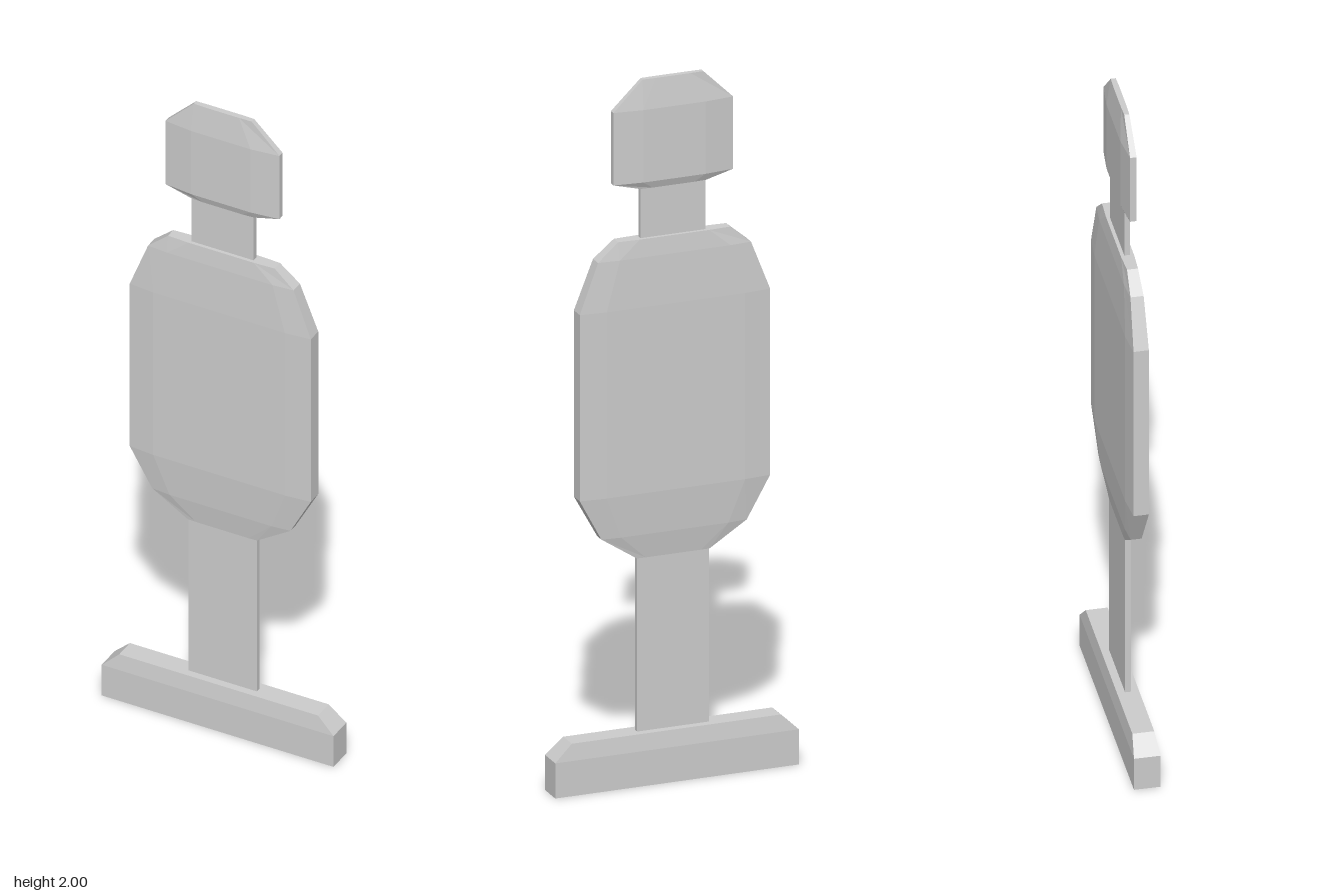
import * as THREE from 'three';

const material = new THREE.MeshStandardMaterial({ color: 0xcccccc, flatShading: true });

// Stack of flat eight-sided sections: [y, half width, edge half depth, inner half width, inner half depth]
function loft(name, sections) {
  const positions = [];
  const rings = sections.map(([y, w, d, wi, di]) => [
    [w, d], [wi, di], [-wi, di], [-w, d], [-w, -d], [-wi, -di], [wi, -di], [w, -d],
  ].map(([x, z]) => [x, y, z]));
  const tri = (a, b, c) => positions.push(...a, ...b, ...c);
  const n = 8;

  // Sides
  for (let r = 0; r < rings.length - 1; r++) {
    const lo = rings[r], hi = rings[r + 1];
    for (let i = 0; i < n; i++) {
      const j = (i + 1) % n;
      tri(lo[i], hi[i], hi[j]);
      tri(lo[i], hi[j], lo[j]);
    }
  }

  // End caps
  const bottom = rings[0], top = rings[rings.length - 1];
  for (let i = 1; i < n - 1; i++) {
    tri(bottom[0], bottom[i], bottom[i + 1]);
    tri(top[0], top[i + 1], top[i]);
  }

  const geometry = new THREE.BufferGeometry();
  geometry.setAttribute('position', new THREE.Float32BufferAttribute(positions, 3));
  geometry.computeVertexNormals();
  const mesh = new THREE.Mesh(geometry, material);
  mesh.name = name;
  return mesh;
}

function slab(name, width, y0, y1, depth) {
  const mesh = new THREE.Mesh(new THREE.BoxGeometry(width, y1 - y0, depth), material);
  mesh.name = name;
  mesh.position.y = (y0 + y1) / 2;
  return mesh;
}

export function createModel() {
  const group = new THREE.Group();
  group.name = 'standingTarget';

  // Foot with a chamfered top
  group.add(loft('base', [
    [0, 0.352, 0.036, 0.3, 0.036],
    [0.1, 0.352, 0.036, 0.3, 0.036],
    [0.147, 0.302, 0.03, 0.25, 0.03],
  ]));

  // Thin connecting plates
  group.add(slab('post', 0.208, 0.14, 0.66, 0.016));
  group.add(slab('neck', 0.188, 1.54, 1.71, 0.016));

  // Torso plate, thinner towards its rim
  group.add(loft('torso', [
    [0.64, 0.105, 0.009, 0.08, 0.01],
    [0.71, 0.21, 0.015, 0.155, 0.02],
    [0.83, 0.275, 0.021, 0.2, 0.028],
    [1.36, 0.275, 0.021, 0.2, 0.028],
    [1.5, 0.221, 0.018, 0.16, 0.023],
    [1.55, 0.162, 0.015, 0.1, 0.018],
  ]));

  // Head plate
  group.add(loft('head', [
    [1.69, 0.095, 0.008, 0.06, 0.01],
    [1.711, 0.173, 0.009, 0.09, 0.018],
    [1.917, 0.173, 0.009, 0.09, 0.018],
    [2, 0.088, 0.007, 0.05, 0.008],
  ]));

  return group;
}
